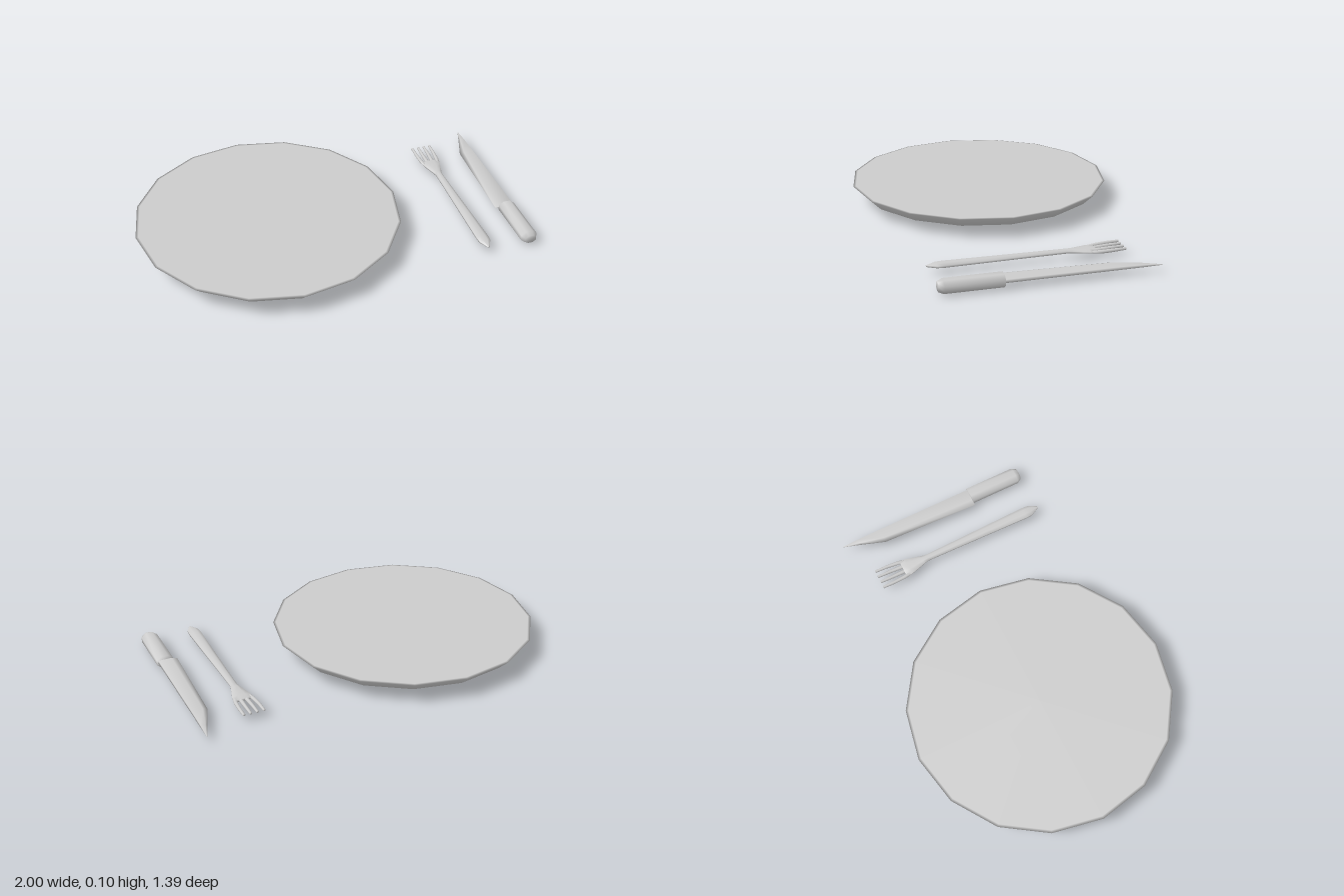
import * as THREE from 'three';
import { mergeVertices } from 'three/addons/utils/BufferGeometryUtils.js';

const grey = new THREE.MeshStandardMaterial({ color: 0xcccccc });

// Unit cross-sections, counter-clockwise seen from +z
const octagon = Array.from({ length: 8 }, (_, i) => {
  const a = (i + 0.5) * Math.PI / 4, k = 0.5 / Math.cos(Math.PI / 8);
  return [Math.cos(a) * k, Math.sin(a) * k];
});
const bladeSection = [[-0.5, 0], [-0.2, -0.5], [0.5, -0.42], [0.5, 0.42], [-0.2, 0.5]];

// Skin a cross-section through sections [z, x, y, width, height], z increasing
function loft(ring, sections) {
  const n = ring.length, pos = [], index = [];
  for (const [z, x, y, w, h] of sections)
    for (const [u, v] of ring) pos.push(x + u * w, y + v * h, z);
  for (let i = 0; i < sections.length - 1; i++)
    for (let j = 0; j < n; j++) {
      const a = i * n + j, b = i * n + (j + 1) % n;
      index.push(a, b, b + n, a, b + n, a + n);
    }
  const last = (sections.length - 1) * n;
  for (let j = 1; j < n - 1; j++)
    index.push(0, j + 1, j, last, last + j, last + j + 1);
  const g = new THREE.BufferGeometry();
  g.setAttribute('position', new THREE.Float32BufferAttribute(pos, 3));
  g.setIndex(index);
  g.computeVertexNormals();
  return g;
}

// Lathe with its seam and poles welded, smooth all over
function smoothLathe(profile, sides) {
  const g = new THREE.LatheGeometry(profile.map(([r, y]) => new THREE.Vector2(r, y)), sides);
  g.deleteAttribute('normal');
  g.deleteAttribute('uv');
  const welded = mergeVertices(g, 1e-4);
  welded.computeVertexNormals();
  return welded;
}

function add(parent, name, geometry) {
  const mesh = new THREE.Mesh(geometry, grey);
  mesh.name = name;
  parent.add(mesh);
  return mesh;
}

function group(parent, name) {
  const g = new THREE.Group();
  g.name = name;
  parent.add(g);
  return g;
}

export function createModel() {
  const model = new THREE.Group();
  model.name = 'placeSetting';

  // Sixteen-sided plate: shallow rounded underside, flared rim, flat top
  const plate = add(model, 'plate', smoothLathe([
    [0, 0], [0.2, 0.002], [0.38, 0.013], [0.64, 0.049], [0.695, 0.102], [0.68, 0.104], [0, 0.103],
  ], 16));
  plate.position.x = -0.305;

  // Fork: pointed handle narrowing to a neck, then widening into the head
  const fork = group(model, 'fork');
  const fx = 0.722;
  add(fork, 'forkBody', loft(octagon, [
    [-0.305, fx, 0.036, 0.102, 0.014],
    [-0.27, fx, 0.036, 0.094, 0.018],
    [-0.238, fx, 0.036, 0.076, 0.02],
    [-0.185, fx, 0.038, 0.046, 0.021],
    [-0.16, fx, 0.039, 0.036, 0.021],
    [0, fx, 0.039, 0.042, 0.022],
    [0.2, fx, 0.039, 0.052, 0.024],
    [0.44, fx, 0.039, 0.063, 0.026],
    [0.475, fx, 0.039, 0.058, 0.024],
    [0.523, fx, 0.039, 0.01, 0.008],
  ]));

  // Four tines, sunk into the head at their roots
  for (const k of [-1.5, -0.5, 0.5, 1.5]) {
    add(fork, 'forkTine', loft(octagon, [
      [-0.447, fx + k * 0.0345, 0.042, 0.013, 0.012],
      [-0.38, fx + k * 0.034, 0.039, 0.016, 0.016],
      [-0.32, fx + k * 0.031, 0.036, 0.019, 0.016],
      [-0.28, fx + k * 0.026, 0.036, 0.02, 0.01],
    ]));
  }

  // Knife: eight-sided handle with a bevelled butt
  const knife = group(model, 'knife');
  add(knife, 'knifeHandle', loft(octagon, [
    [0.217, 0.957, 0.036, 0.086, 0.064],
    [0.498, 0.957, 0.036, 0.086, 0.064],
    [0.523, 0.957, 0.036, 0.058, 0.044],
  ]));

  // Blade: straight spine on +x, cutting edge on -x, angled to a point
  add(knife, 'knifeBlade', loft(bladeSection, [
    [-0.542, 0.991, 0.036, 0.003, 0.003],
    [-0.45, 0.975, 0.039, 0.034, 0.014],
    [-0.32, 0.952, 0.04, 0.08, 0.018],
    [0.218, 0.942, 0.04, 0.1, 0.02],
  ]));

  return model;
}
